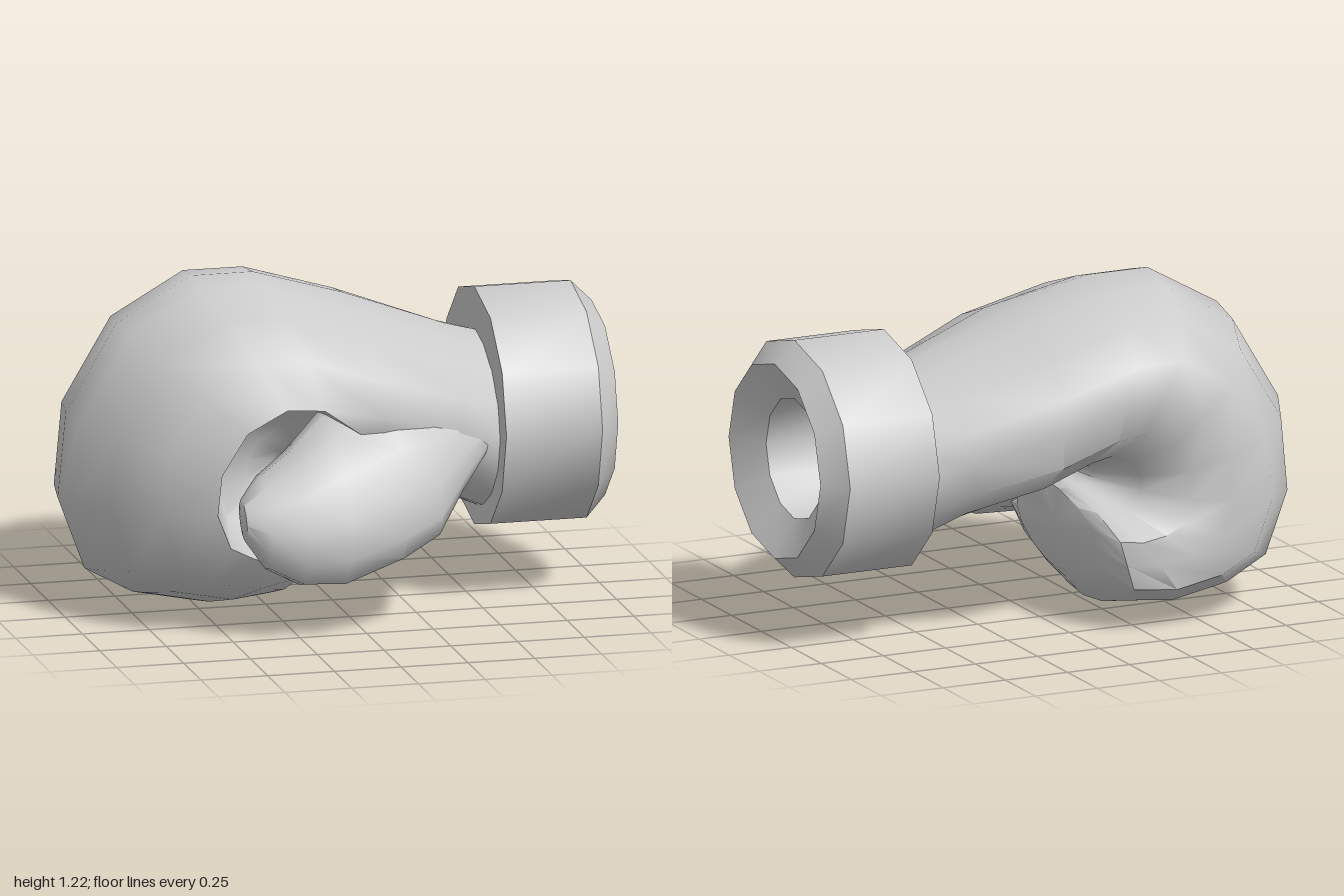
import * as THREE from 'three';
import { toCreasedNormals } from 'three/addons/utils/BufferGeometryUtils.js';

const material = new THREE.MeshStandardMaterial({ color: 0xcccccc, side: THREE.DoubleSide });

// Skin a list of closed rings; the last ring is always closed, the first on request
function loft(rings, capStart) {
  const n = rings[0].length;
  const points = rings.flat();
  const index = [];
  for (let i = 0; i < rings.length - 1; i++) {
    for (let j = 0; j < n; j++) {
      const a = i * n + j, b = i * n + (j + 1) % n;
      index.push(a, a + n, b, b, a + n, b + n);
    }
  }
  const cap = (start, flip) => {
    const centre = new THREE.Vector3();
    for (let j = 0; j < n; j++) centre.addScaledVector(points[start + j], 1 / n);
    const c = points.push(centre) - 1;
    for (let j = 0; j < n; j++) {
      const a = start + j, b = start + (j + 1) % n;
      index.push(c, flip ? b : a, flip ? a : b);
    }
  };
  cap((rings.length - 1) * n, true);
  if (capStart) cap(0, false);
  const geometry = new THREE.BufferGeometry().setFromPoints(points);
  geometry.setIndex(index);
  return toCreasedNormals(geometry, 1.0);
}

function addMesh(group, name, geometry) {
  const mesh = new THREE.Mesh(geometry, material);
  mesh.name = name;
  group.add(mesh);
}

// Mitt: sections run from the wrist, over the knuckles and round to the fingertips.
// outer x, y, inner x, y, back z, front z, amount of side recess
const mittSections = [
  [0.60, 0.94, 0.60, 0.28, -0.49, 0.24, 0],
  [0.45, 0.98, 0.36, 0.38, -0.53, 0.33, 0],
  [0.07, 1.12, 0.10, 0.45, -0.64, 0.45, 0],
  [-0.27, 1.22, -0.06, 0.52, -0.65, 0.50, 1],
  [-0.50, 1.22, -0.12, 0.54, -0.65, 0.50, 1],
  [-0.78, 1.06, -0.16, 0.53, -0.65, 0.50, 1],
  [-0.97, 0.74, -0.17, 0.52, -0.65, 0.49, 1],
  [-1.00, 0.42, -0.17, 0.51, -0.65, 0.48, 1],
  [-0.90, 0.15, -0.16, 0.505, -0.65, 0.47, 1],
  [-0.72, 0.05, -0.14, 0.50, -0.65, 0.46, 1],
  [-0.47, 0.00, -0.12, 0.50, -0.65, 0.43, 0.8],
  [-0.24, 0.02, -0.10, 0.50, -0.63, 0.34, 0.5],
  [-0.13, 0.14, -0.08, 0.48, -0.50, 0.16, 0],
];
// Front side of a recessed section, from the rim inward: toward the inner edge, depth
const recess = { 4: [-0.08, 1], 5: [-0.28, 0.42], 6: [-0.58, 0.3], 7: [-0.85, 0.16] };

function mittRing([ox, oy, ix, iy, back, front, amount]) {
  const ring = [];
  const zMid = -0.11;
  for (let j = 0; j < 16; j++) {
    const t = j * Math.PI / 8;
    const s = Math.abs(Math.sin(t));
    let u = Math.cos(t);
    // The front side slopes away toward the thumb, the back side is fuller
    let w = j < 8 ? Math.pow(s, 1.25 + 0.7 * amount) : Math.min(1, 1.1 * Math.pow(s, 1.25));
    if (recess[j]) {
      u = THREE.MathUtils.lerp(u, recess[j][0], amount);
      w = THREE.MathUtils.lerp(w, recess[j][1], amount);
    }
    const k = (1 + u) / 2;
    const z = zMid + w * ((j < 8 ? front : back) - zMid);
    ring.push(new THREE.Vector3(ix + (ox - ix) * k, iy + (oy - iy) * k, z));
  }
  return ring;
}

// Thumb: x, centre y, centre z, long half axis, short half axis
const thumbSections = [
  [0.52, 0.68, 0.20, 0.10, 0.04],
  [0.40, 0.64, 0.24, 0.20, 0.10],
  [0.28, 0.60, 0.30, 0.31, 0.14],
  [0.13, 0.58, 0.34, 0.36, 0.16],
  [-0.10, 0.495, 0.40, 0.34, 0.20],
  [-0.25, 0.43, 0.42, 0.26, 0.18],
  [-0.38, 0.43, 0.46, 0.18, 0.13],
  [-0.46, 0.45, 0.49, 0.08, 0.05],
];
function thumbRing([x, cy, cz, a, b]) {
  const ring = [];
  for (let j = 0; j < 12; j++) {
    const t = j * Math.PI / 6;
    const u = a * Math.cos(t), v = b * Math.sin(t);
    ring.push(new THREE.Vector3(x, cy + 0.82 * u + 0.57 * v, cz - 0.57 * u + 0.82 * v));
  }
  return ring;
}

export function createModel() {
  const model = new THREE.Group();
  model.name = 'paddedGlove';
  addMesh(model, 'mitt', loft(mittSections.map(mittRing), false));
  addMesh(model, 'thumb', loft(thumbSections.map(thumbRing), true));

  // Cuff with bevelled rim and a hand opening into the hollow mitt
  const profile = [
    [0.24, 0.565], [0.445, 0.56], [0.445, 0.92], [0.365, 1.0], [0.225, 0.92], [0.24, 0.565],
  ].map(([r, x]) => new THREE.Vector2(r, x));
  const cuff = new THREE.LatheGeometry(profile, 12, -Math.PI / 2);
  cuff.deleteAttribute('normal');
  cuff.deleteAttribute('uv');
  cuff.rotateZ(-Math.PI / 2);
  cuff.scale(1, 1, 1.05);
  cuff.translate(0, 0.665, -0.11);
  addMesh(model, 'cuff', toCreasedNormals(cuff, 0.68));
  return model;
}
